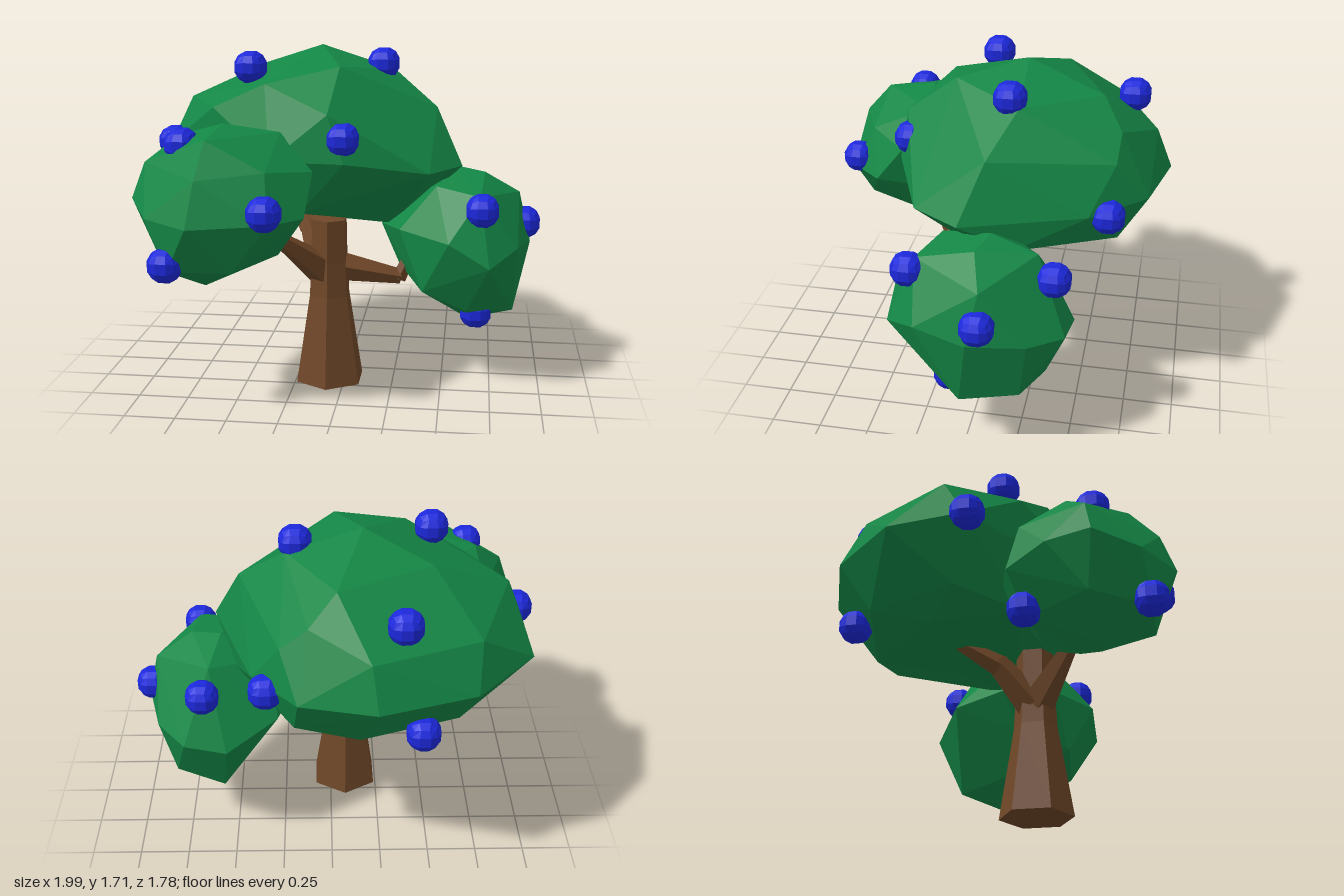
import * as THREE from 'three';
import { ConvexGeometry } from 'three/addons/geometries/ConvexGeometry.js';

const material = (color) => new THREE.MeshStandardMaterial({ color, flatShading: true });
const leaf = material(0x148746);
const bark = material(0x6f4728);
const berry = material(0x1c28dc);

function addMesh(group, name, geometry, mat) {
  const mesh = new THREE.Mesh(geometry, mat);
  mesh.name = name;
  group.add(mesh);
  return mesh;
}

// Cube grid pushed out to a sphere
function fruitGeometry(radius) {
  const g = new THREE.BoxGeometry(2, 2, 2, 3, 3, 3);
  const p = g.attributes.position;
  const v = new THREE.Vector3();
  for (let i = 0; i < p.count; i++) {
    v.fromBufferAttribute(p, i).setLength(radius);
    p.setXYZ(i, v.x, v.y, v.z);
  }
  g.computeVertexNormals();
  return g;
}

// Tapered limb between two points
function addLimb(group, name, from, to, r0, r1) {
  const a = new THREE.Vector3(...from);
  const b = new THREE.Vector3(...to);
  const dir = b.clone().sub(a);
  const limb = addMesh(group, name, new THREE.CylinderGeometry(r1, r0, dir.length(), 5), bark);
  limb.position.copy(a).add(b).multiplyScalar(0.5);
  limb.quaternion.setFromUnitVectors(new THREE.Vector3(0, 1, 0), dir.normalize());
}

// Corners of the faceted leaf crowns, from the top down
const crowns = {
  mainCrown: [
    [-0.15, 1.71, -0.16],
    [0.22, 1.59, -0.17], [-0.02, 1.59, -0.55], [-0.47, 1.6, -0.33], [-0.38, 1.55, 0.26], [-0.02, 1.63, 0.18],
    [0.45, 1.41, -0.05], [0.11, 1.46, -0.65], [0.24, 1.35, -0.64], [-0.05, 1.43, 0.44], [-0.66, 1.42, 0.17],
    [-0.85, 1.43, -0.17], [-0.68, 1.36, -0.6], [-0.17, 1.37, -0.81],
    [0.585, 1.13, 0.06], [0.43, 1.13, 0.3], [0.03, 1.2, 0.465], [-0.33, 1.2, 0.44], [-0.75, 1.18, 0.1],
    [-0.94, 1.2, -0.05], [-0.96, 1.15, -0.41], [-0.66, 1.15, -0.73], [-0.2, 1.16, -0.89],
    [0.16, 1.15, -0.8], [0.38, 1.13, -0.53],
    [0.48, 0.98, -0.2], [0.24, 0.8, -0.03], [-0.2, 0.93, 0.33], [-0.5, 0.9, 0.15], [-0.79, 0.92, -0.13],
    [-0.6, 0.92, -0.58], [-0.13, 0.87, -0.68], [0.18, 0.93, -0.66], [-0.05, 0.8, -0.25], [-0.6, 0.83, -0.28],
  ],
  frontCrown: [
    [-0.55, 1.38, 0.42], [-0.28, 1.34, 0.4], [-0.58, 1.34, 0.68], [-0.77, 1.32, 0.4], [-0.5, 1.3, 0.18],
    [-0.3, 1.2, 0.7], [-0.11, 1.17, 0.5], [-0.25, 1.15, 0.2], [-0.6, 1.18, 0.82], [-0.92, 1.2, 0.5],
    [-0.8, 1.18, 0.18], [-0.27, 0.98, 0.81], [-0.13, 0.98, 0.65], [-0.63, 0.97, 0.89], [-0.86, 0.98, 0.74],
    [-0.98, 1.03, 0.53], [-0.95, 1, 0.32], [-0.82, 0.95, 0.12], [-0.5, 1, 0.04], [-0.22, 0.9, 0.25],
    [-0.28, 0.76, 0.5], [-0.45, 0.74, 0.77], [-0.75, 0.74, 0.78], [-0.88, 0.78, 0.5], [-0.7, 0.76, 0.2],
    [-0.42, 0.72, 0.25], [-0.62, 0.62, 0.58], [-0.5, 0.65, 0.42],
  ],
  sideCrown: [
    [0.55, 1.1, -0.1], [0.7, 1.08, -0.05], [0.46, 1.04, 0.15], [0.68, 1.01, 0.24], [0.88, 0.97, -0.1],
    [0.6, 1.04, -0.33], [0.3, 0.97, -0.12], [0.17, 0.79, -0.07], [0.28, 0.82, 0.18], [0.53, 0.8, 0.37],
    [0.73, 0.68, 0.37], [0.87, 0.75, 0.21], [0.94, 0.72, -0.05], [0.87, 0.7, -0.32], [0.73, 0.68, -0.48],
    [0.52, 0.65, -0.5], [0.27, 0.75, -0.35], [0.27, 0.59, 0], [0.4, 0.52, 0.25], [0.62, 0.42, 0.23],
    [0.86, 0.36, 0], [0.8, 0.38, -0.28], [0.55, 0.35, -0.37], [0.42, 0.4, -0.08], [0.63, 0.26, -0.13],
  ],
};

// Fruit centres, half sunk into the crowns
const fruitSpots = [
  // main crown
  [0.02, 1.31, 0.41], [-0.49, 1.61, 0.05], [0.17, 1.62, -0.12], [-0.32, 1.49, -0.68],
  [-0.92, 1.21, -0.04], [0.31, 1.11, -0.62], [-0.42, 0.93, -0.71],
  // front crown
  [-0.73, 1.29, 0.52], [-0.29, 1.03, 0.79], [-0.76, 0.77, 0.77], [-0.72, 0.79, 0.19],
  // side crown
  [0.69, 0.95, 0.27], [0.91, 0.81, -0.1], [0.63, 0.93, -0.41], [0.67, 0.37, 0.08],
];

export function createModel() {
  const tree = new THREE.Group();
  tree.name = 'fruitTree';

  // Trunk: six-sided, flared at the foot
  const trunk = new THREE.Group();
  trunk.name = 'trunk';
  tree.add(trunk);
  const profile = [[0, 0], [0.185, 0], [0.11, 0.46], [0.1, 0.64], [0.095, 0.86], [0, 0.87]];
  const stem = addMesh(trunk, 'stem', new THREE.LatheGeometry(profile.map((p) => new THREE.Vector2(...p)), 6), bark);
  stem.position.set(-0.08, 0, 0.14);

  // Branches
  addLimb(trunk, 'leftBranch', [-0.05, 0.61, 0.13], [0.28, 0.54, 0.06], 0.08, 0.04);
  addLimb(trunk, 'leftBranchTip', [0.27, 0.53, 0.06], [0.33, 0.66, 0.05], 0.04, 0.03);
  addLimb(trunk, 'rightBranch', [-0.1, 0.58, 0.15], [-0.33, 0.83, 0.38], 0.09, 0.03);
  addLimb(trunk, 'backBranch', [-0.1, 0.58, 0.12], [-0.2, 0.78, -0.04], 0.09, 0.06);
  addLimb(trunk, 'backBranchTip', [-0.2, 0.76, -0.03], [-0.33, 0.87, -0.25], 0.06, 0.03);

  // Leaf crowns
  for (const [name, corners] of Object.entries(crowns)) {
    addMesh(tree, name, new ConvexGeometry(corners.map((c) => new THREE.Vector3(...c))), leaf);
  }

  // Fruits
  const fruits = new THREE.Group();
  fruits.name = 'fruits';
  tree.add(fruits);
  const fruitShape = fruitGeometry(0.086);
  for (const spot of fruitSpots) {
    addMesh(fruits, 'fruit', fruitShape, berry).position.set(...spot);
  }

  return tree;
}
